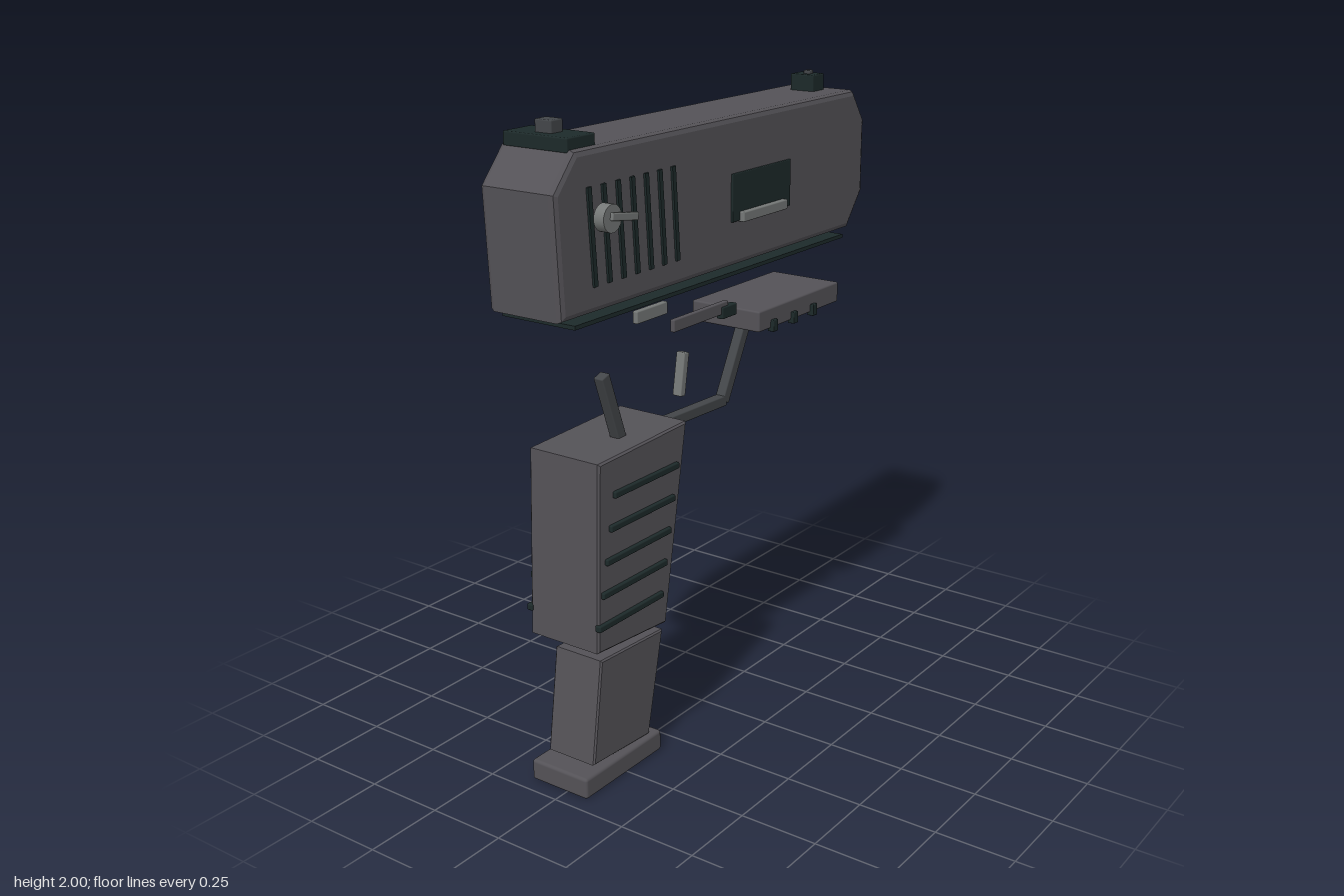
import * as THREE from 'three';
import { RoundedBoxGeometry } from 'three/addons/geometries/RoundedBoxGeometry.js';

const paint = (name, color) => {
  const m = new THREE.MeshStandardMaterial({ color });
  m.name = name;
  return m;
};

export function createModel() {
  const root = new THREE.Group();
  root.name = 'explodedPistol';

  const body = paint('bodyGrey', 0x545257);
  const dark = paint('darkTrim', 0x1d2a2a);
  const steel = paint('steelGrey', 0x757877);
  const gunmetal = paint('gunmetal', 0x434649);

  const Z0 = -0.155, Z1 = 0.102, ZC = (Z0 + Z1) / 2;

  const add = (name, geometry, material) => {
    const mesh = new THREE.Mesh(geometry, material);
    mesh.name = name;
    root.add(mesh);
    return mesh;
  };

  // Box given by its limits on each axis, optionally softened and tilted about z
  const box = (name, material, [x0, x1], [y0, y1], [z0, z1], round = 0, tilt = 0) => {
    const size = [x1 - x0, y1 - y0, z1 - z0];
    const geo = round ? new RoundedBoxGeometry(...size, 2, round) : new THREE.BoxGeometry(...size);
    const mesh = add(name, geo, material);
    mesh.position.set((x0 + x1) / 2, (y0 + y1) / 2, (z0 + z1) / 2);
    mesh.rotation.z = tilt;
    return mesh;
  };

  // Bar running between two points of the side profile
  const bar = (name, material, [ax, ay], [bx, by], width, z0, z1) => {
    const half = Math.hypot(bx - ax, by - ay) / 2;
    const cx = (ax + bx) / 2, cy = (ay + by) / 2;
    return box(name, material, [cx - half, cx + half], [cy - width / 2, cy + width / 2], [z0, z1],
      0.004, Math.atan2(by - ay, bx - ax));
  };

  // Side profile extruded across z with a bevel kept inside the outline
  const slab = (name, material, points, z0, z1, bevel, segments) => {
    const shape = new THREE.Shape(points.map(([x, y]) => new THREE.Vector2(x, y)));
    const geo = new THREE.ExtrudeGeometry(shape, {
      depth: z1 - z0 - 2 * bevel, bevelThickness: bevel, bevelSize: bevel,
      bevelOffset: -bevel, bevelSegments: segments,
    });
    geo.translate(0, 0, z0 + bevel);
    return add(name, geo, material);
  };

  // Slide and the plate beneath it
  slab('slide', body, [[-0.78, 1.483], [0.69, 1.483], [0.778, 1.595], [0.778, 1.83],
    [0.705, 1.933], [-0.71, 1.933], [-0.8, 1.83]], Z0, Z1, 0.018, 2);
  box('slidePlate', dark, [-0.727, 0.655], [1.456, 1.468], [Z0, Z1]);

  // Slanted grooves on both sides of the slide
  for (const [side, z0, z1] of [['Left', 0.09, 0.109], ['Right', -0.163, -0.145]]) {
    for (let i = 0; i < 7; i++) {
      const x = -0.65 + i * 0.0622;
      box('slideGroove' + side, dark, [x - 0.008, x + 0.008], [1.558, 1.832], [z0, z1], 0, 0.075);
    }
  }

  // Ejection port
  box('ejectionPort', dark, [0.005, 0.322], [1.62, 1.765], [0.098, 0.108], 0.003);
  box('chamberLip', steel, [0.043, 0.283], [1.617, 1.648], [0.1, 0.124], 0.004);

  // Muzzle ring and bore
  const ring = add('muzzleRing', new THREE.TorusGeometry(0.052, 0.013, 10, 32), steel);
  ring.position.set(0.784, 1.68, ZC);
  ring.rotation.y = Math.PI / 2;
  const bore = add('muzzleBore', new THREE.CylinderGeometry(0.043, 0.043, 0.03, 28), dark);
  bore.position.set(0.775, 1.68, ZC);
  bore.rotation.z = Math.PI / 2;

  // Sights
  box('rearSightBase', dark, [-0.717, -0.6], [1.925, 1.965], [-0.14, 0.082], 0.004);
  box('rearSightPost', gunmetal, [-0.684, -0.635], [1.955, 2.0], [-0.056, 0.002], 0.004);
  box('frontSight', dark, [0.595, 0.662], [1.925, 1.985], [-0.073, 0.013], 0.004);
  box('frontSightBead', gunmetal, [0.617, 0.641], [1.975, 1.996], [ZC - 0.012, ZC + 0.012], 0.004);

  // Safety knob and lever
  const knob = add('safetyKnob', new THREE.CylinderGeometry(0.039, 0.039, 0.034, 24), steel);
  knob.position.set(-0.625, 1.748, 0.139);
  knob.rotation.x = Math.PI / 2;
  bar('safetyLever', steel, [-0.635, 1.755], [-0.522, 1.738], 0.022, 0.147, 0.165);

  // Catches floating below the slide
  box('slideCatch', steel, [-0.482, -0.34], [1.42, 1.457], [0.105, 0.123], 0.004);
  box('slideStopLeft', body, [-0.292, -0.018], [1.35, 1.388], [0.094, 0.11], 0.004);
  box('slideStopRight', body, [-0.292, -0.018], [1.35, 1.388], [-0.17, -0.154], 0.004);
  box('slideStopTab', dark, [-0.055, 0.02], [1.337, 1.374], [0.092, 0.116], 0.004);

  // Forward rail block with its pins
  box('railBlock', body, [0.163, 0.637], [1.243, 1.31], [Z0, Z1], 0.006);
  for (const x of [0.242, 0.359, 0.476]) {
    box('railPin', dark, [x - 0.013, x + 0.013], [1.232, 1.27], [0.09, 0.114], 0.003);
  }

  // Trigger guard, trigger and tang
  bar('guardBottom', gunmetal, [-0.26, 1.032], [0.105, 1.022], 0.034, -0.012, 0.022);
  bar('guardFront', gunmetal, [0.1, 1.018], [0.222, 1.25], 0.036, -0.012, 0.022);
  bar('trigger', steel, [-0.1, 1.228], [-0.122, 1.094], 0.026, -0.016, 0.016);
  bar('tang', gunmetal, [-0.5, 1.255], [-0.42, 1.03], 0.036, -0.012, 0.022);

  // Grip with ribs on both sides
  slab('grip', body, [[-0.657, 0.468], [-0.33, 0.443], [-0.222, 1.06], [-0.638, 1.046]], Z0, Z1, 0.006, 1);
  for (const [side, z0, z1] of [['Left', 0.092, 0.113], ['Right', -0.166, -0.145]]) {
    for (let i = 0; i < 5; i++) {
      const x = -0.578 - i * 0.0205, y = 0.938 - i * 0.0972;
      box('gripRib' + side, dark, [x, x + 0.306], [y - 0.01, y + 0.01], [z0, z1], 0.004);
    }
  }

  // Magazine and base pad
  slab('magazine', body, [[-0.642, 0.082], [-0.37, 0.066], [-0.297, 0.396], [-0.597, 0.41]],
    -0.113, 0.063, 0.005, 1);
  box('magazineBase', body, [-0.7, -0.33], [0, 0.068], [-0.132, 0.08], 0.01);

  return root;
}
